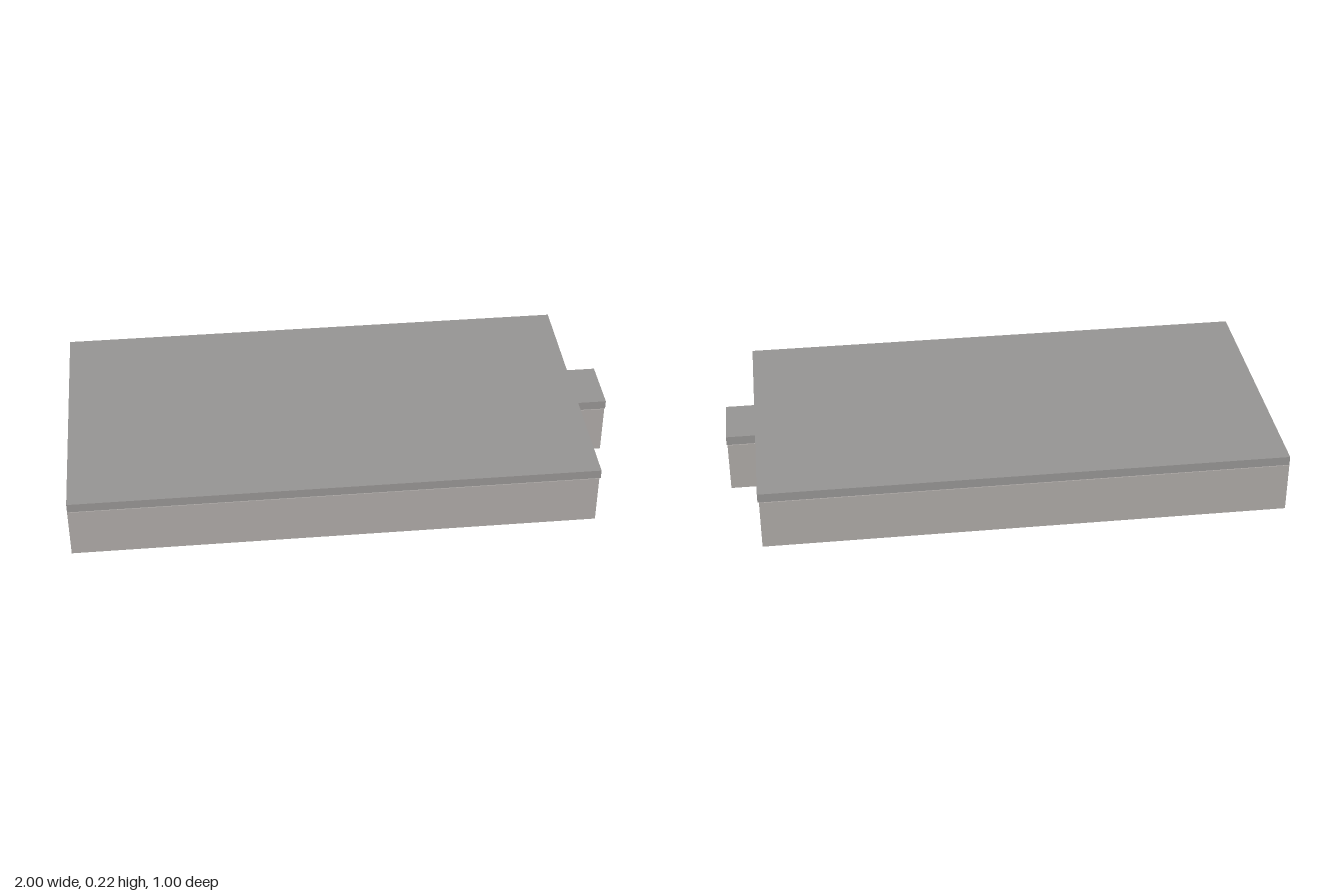
import * as THREE from 'three';

// Rectangular plate with a small tab on its +x end, extruded upwards from y0 to y1
function tabbedPlate(name, color, y0, y1, endX, tabX) {
  const tabFront = 0.094, tabBack = -0.117;
  const shape = new THREE.Shape([
    [-1, -0.5], [endX, -0.5], [endX, -tabFront], [tabX, -tabFront],
    [tabX, -tabBack], [endX, -tabBack], [endX, 0.5], [-1, 0.5],
  ].map(([x, y]) => new THREE.Vector2(x, y)));
  const geometry = new THREE.ExtrudeGeometry(shape, { depth: y1 - y0, bevelEnabled: false });
  geometry.rotateX(-Math.PI / 2);
  geometry.translate(0, y0, 0);
  const mesh = new THREE.Mesh(geometry, new THREE.MeshStandardMaterial({ color }));
  mesh.name = name;
  return mesh;
}

export function createModel() {
  const group = new THREE.Group();
  group.name = 'tabbedPlatform';

  // Thick base block, and a thin darker slab lying over it with a hairline gap
  group.add(
    tabbedPlate('base', 0xada9a6, 0, 0.187, 0.89, 0.997),
    tabbedPlate('topSlab', 0x969493, 0.1895, 0.223, 0.895, 1),
  );
  return group;
}
